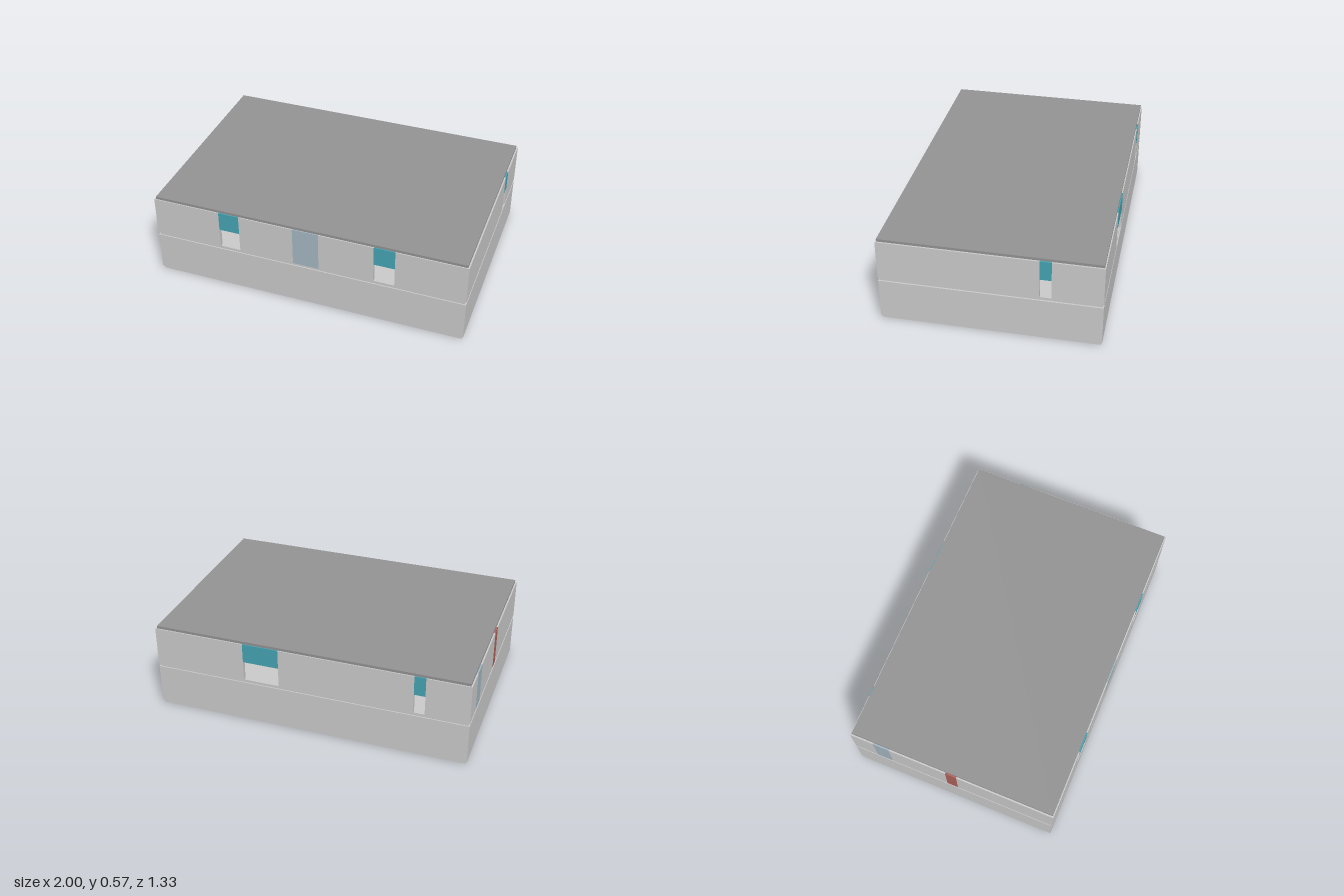
import * as THREE from 'three';

const HX = 1, HZ = 0.667, T = 0.025;      // outer half sizes and wall thickness
const mats = {};
const mat = (c) => (mats[c] ??= new THREE.MeshStandardMaterial({ color: c }));
const WALL = 0xcccccc, ROOF = 0x949494, TEAL = 0x46a4b4, BLUE = 0xa4b7c2, RED = 0xb0625a;
const DOOR_H = 0.131;

function box(parent, name, color, x0, x1, y0, y1, z0, z1) {
  const m = new THREE.Mesh(new THREE.BoxGeometry(x1 - x0, y1 - y0, z1 - z0), mat(color));
  m.position.set((x0 + x1) / 2, (y0 + y1) / 2, (z0 + z1) / 2);
  m.name = name;
  parent.add(m);
}

// A straight wall along x or z, split at its openings: [from, to, kind]
function wall(parent, name, axis, sign, y0, y1, openings = []) {
  const g = new THREE.Group();
  g.name = name;
  parent.add(g);
  const half = axis === 'x' ? HX : HZ - T;
  const outer = axis === 'x' ? HZ : HX;
  const lo = sign > 0 ? outer - T : -outer, hi = lo + T;
  const piece = (n, c, a, b, ya, yb) => axis === 'x'
    ? box(g, n, c, a, b, ya, yb, lo, hi)
    : box(g, n, c, lo, hi, ya, yb, a, b);
  let at = -half;
  for (const [a, b, kind] of openings) {
    piece('wallSection', WALL, at, a, y0, y1);
    if (kind === 'door') piece('doorLintel', TEAL, a, b, y0 + DOOR_H, y1);
    else piece('wallPanel', kind, a, b, y0, y1);
    at = b;
  }
  piece('wallSection', WALL, at, half, y0, y1);
}

function storey(parent, name, y0, y1, sides = {}) {
  const g = new THREE.Group();
  g.name = name;
  parent.add(g);
  wall(g, 'frontWall', 'x', 1, y0, y1, sides.front);
  wall(g, 'backWall', 'x', -1, y0, y1, sides.back);
  wall(g, 'leftWall', 'z', 1, y0, y1, sides.left);
  wall(g, 'rightWall', 'z', -1, y0, y1, sides.right);
  return g;
}

export function createModel() {
  const model = new THREE.Group();
  model.name = 'building';

  // Slabs, set back slightly from the walls
  const slab = (name, color, y0, y1) => box(model, name, color, -0.99, 0.99, y0, y1, -0.66, 0.66);
  slab('groundSlab', WALL, 0, 0.018);
  slab('upperFloor', WALL, 0.276, 0.294);
  slab('roof', ROOF, 0.55, 0.567);

  // Closed lower storey, upper storey with doors and coloured panels
  storey(model, 'lowerStorey', 0.018, 0.276);
  const upper = storey(model, 'upperStorey', 0.294, 0.55, {
    front: [[-0.565, -0.433, 'door'], [-0.083, 0.083, BLUE], [0.43, 0.562, 'door']],
    back: [[-0.73, -0.66, 'door'], [0.187, 0.417, 'door']],
    left: [[-0.365, -0.295, 'door']],
    right: [[-0.515, -0.41, BLUE], [-0.035, 0.037, RED]],
  });

  // Low units standing inside, behind the front doors
  for (const s of [-1, 1])
    box(upper, 'lowUnit', ROOF, s * 0.5 - 0.2, s * 0.5 + 0.2, 0.294, 0.371, 0.1, 0.38);

  return model;
}
